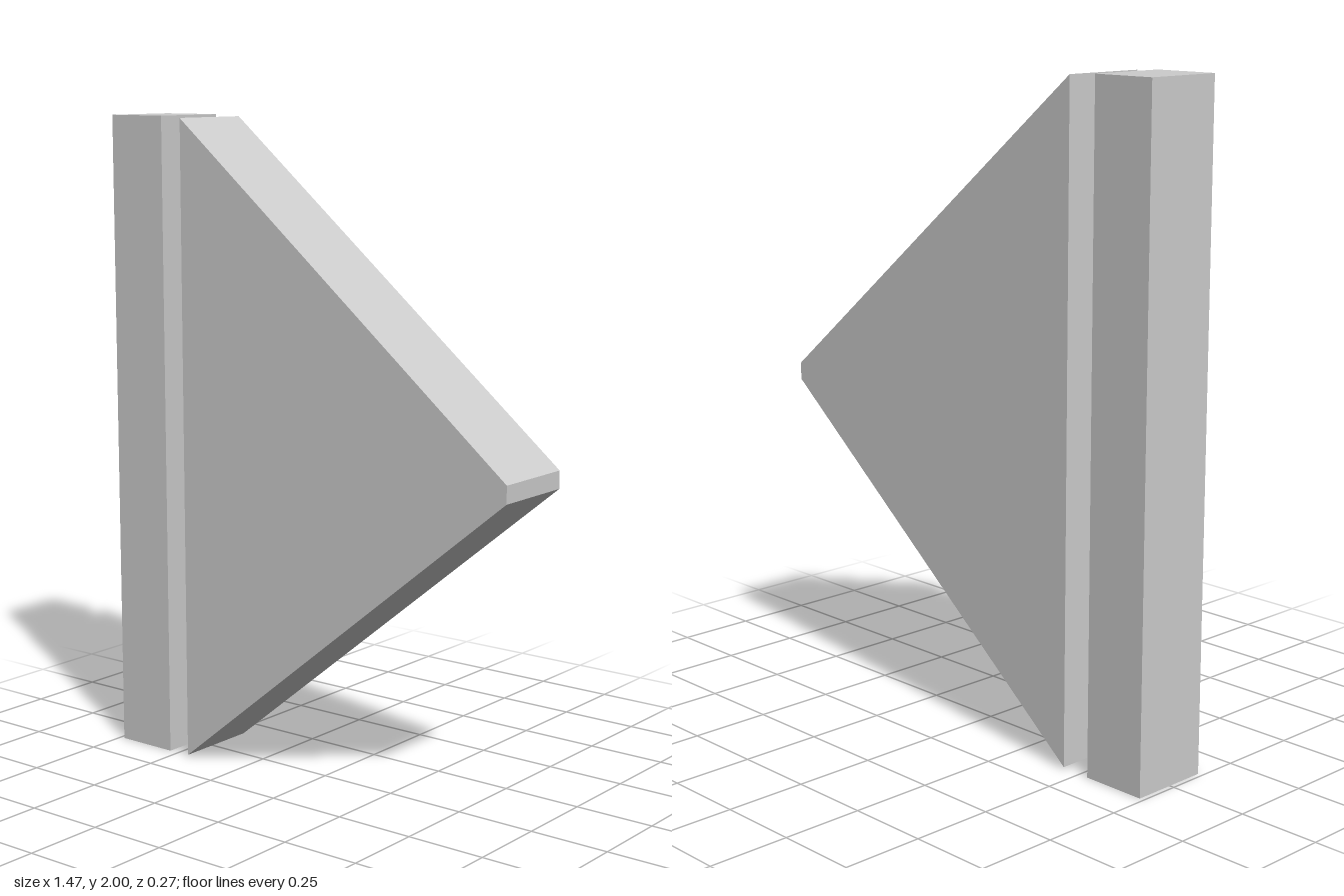
import * as THREE from 'three';

export function createModel() {
  const model = new THREE.Group();
  const material = new THREE.MeshStandardMaterial({ color: 0xcccccc, flatShading: true });

  // Upright square bar
  const bar = new THREE.Mesh(new THREE.BoxGeometry(0.203, 2, 0.25), material);
  bar.name = 'verticalBar';
  bar.position.set(-0.6335, 1, -0.002);
  model.add(bar);

  // Triangular slab with a blunted tip pointing to +x
  const outline = new THREE.Shape([
    new THREE.Vector2(-0.446, 0.008),
    new THREE.Vector2(0.735, 0.975),
    new THREE.Vector2(0.735, 1.028),
    new THREE.Vector2(-0.446, 1.995),
  ]);
  const depth = 0.27;
  const slab = new THREE.ExtrudeGeometry(outline, { depth, bevelEnabled: false });
  slab.translate(0, 0, -depth / 2);
  const triangle = new THREE.Mesh(slab, material);
  triangle.name = 'triangularSlab';
  model.add(triangle);

  return model;
}
